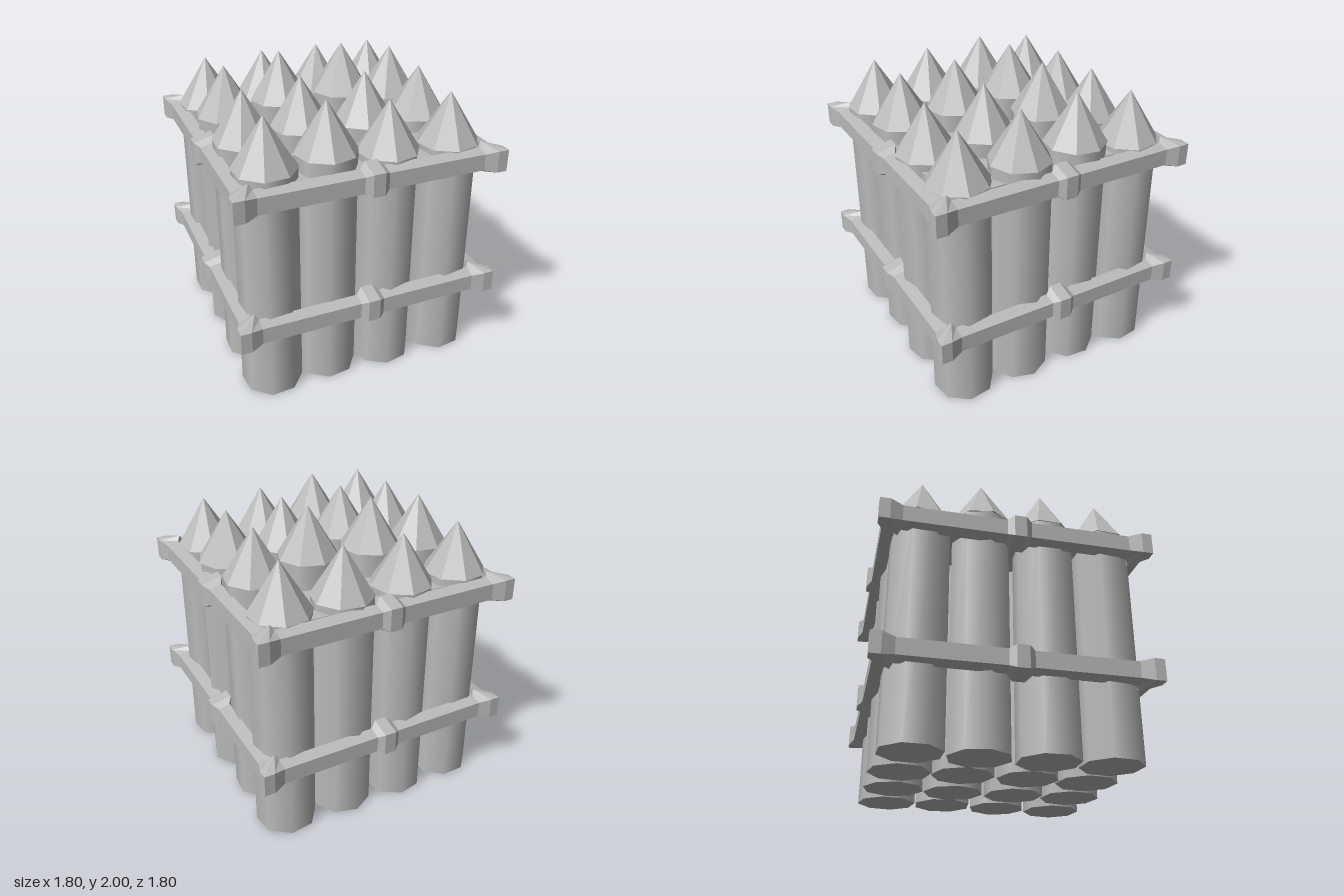
import * as THREE from 'three';

const stone = new THREE.MeshStandardMaterial({ color: 0xbababa });
stone.name = 'plainGrey';

// Separate the faces so that they keep hard edges
function faceted(geometry) {
  const g = geometry.index ? geometry.toNonIndexed() : geometry;
  g.computeVertexNormals();
  return g;
}

function addMesh(parent, name, geometry, x = 0, y = 0, z = 0) {
  const mesh = new THREE.Mesh(geometry, stone);
  mesh.name = name;
  mesh.position.set(x, y, z);
  parent.add(mesh);
  return mesh;
}

// One post per row: x, z, tip height, turn of the tip in degrees
const POSTS = [
  [-0.63, -0.61, 1.88, 15], [-0.21, -0.62, 1.88, 12], [0.21, -0.61, 1.88, -12], [0.63, -0.61, 1.87, 16],
  [-0.61, -0.2, 1.94, -11], [-0.22, -0.22, 1.99, 7], [0.23, -0.2, 2.0, -3], [0.61, -0.21, 1.93, -13],
  [-0.62, 0.22, 1.92, 22], [-0.23, 0.2, 1.95, 8], [0.21, 0.22, 1.93, 15], [0.62, 0.2, 1.91, 0],
  [-0.62, 0.62, 1.9, 18], [-0.22, 0.6, 1.93, 8], [0.19, 0.62, 1.88, 11], [0.62, 0.62, 1.87, 9],
];
const TIP = 0.33;

// Half of one beam: position along it, outer and inner distance, outer and inner half height
const STATIONS = [
  [-0.9, 0.9, 0.77, 0.073, 0.105],
  [-0.83, 0.9, 0.77, 0.073, 0.105],
  [-0.75, 0.87, 0.79, 0.055, 0.075],
  [-0.08, 0.87, 0.79, 0.055, 0.075],
  [-0.04, 0.9, 0.765, 0.075, 0.11],
];

// Square ring of four mitred beams with thick corners and a knob on each side
function bandGeometry() {
  const side = [...STATIONS, ...STATIONS.slice(1).reverse().map(([t, ...rest]) => [-t, ...rest])];
  const sections = [];
  for (let s = 0; s < 4; s++) {
    for (const [t, outer, inner, ho, hi] of side) {
      const ti = THREE.MathUtils.clamp(t, -inner, inner);
      const section = [[t, -ho, outer], [t, ho, outer], [ti, hi, inner], [ti, -hi, inner]];
      sections.push(section.map(([x, y, z]) => {
        for (let i = 0; i < s; i++) [x, z] = [z, -x];
        return [x, y, z];
      }));
    }
  }
  const points = [];
  sections.forEach((a, i) => {
    const b = sections[(i + 1) % sections.length];
    for (let k = 0; k < 4; k++) {
      const n = (k + 1) % 4;
      points.push(...a[k], ...b[k], ...b[n], ...a[k], ...b[n], ...a[n]);
    }
  });
  const g = new THREE.BufferGeometry();
  g.setAttribute('position', new THREE.Float32BufferAttribute(points, 3));
  return faceted(g);
}

export function createModel() {
  const model = new THREE.Group();
  model.name = 'bundleOfPointedPosts';

  // Round posts with pointed tips
  const tip = faceted(new THREE.ConeGeometry(0.206, TIP, 8));
  POSTS.forEach(([x, z, top, turn], i) => {
    const post = new THREE.Group();
    post.name = 'post' + (i + 1);
    post.position.set(x, 0, z);
    const height = top - TIP;
    const shaft = addMesh(post, 'shaft', new THREE.CylinderGeometry(0.2, 0.203, height, 8), 0, height / 2, 0);
    shaft.rotation.y = THREE.MathUtils.degToRad(-turn + (i * 7) % 13 - 6);
    const point = addMesh(post, 'tip', tip, 0, top - TIP / 2, 0);
    point.rotation.y = THREE.MathUtils.degToRad(-turn);
    model.add(post);
  });

  // Floor filling the gaps between the posts
  addMesh(model, 'floor', new THREE.BoxGeometry(1.45, 0.06, 1.45), 0, 1.47, 0);

  // Binding frames
  const band = bandGeometry();
  addMesh(model, 'lowerBand', band, 0, 0.55, 0);
  addMesh(model, 'upperBand', band, 0, 1.46, 0);

  return model;
}
